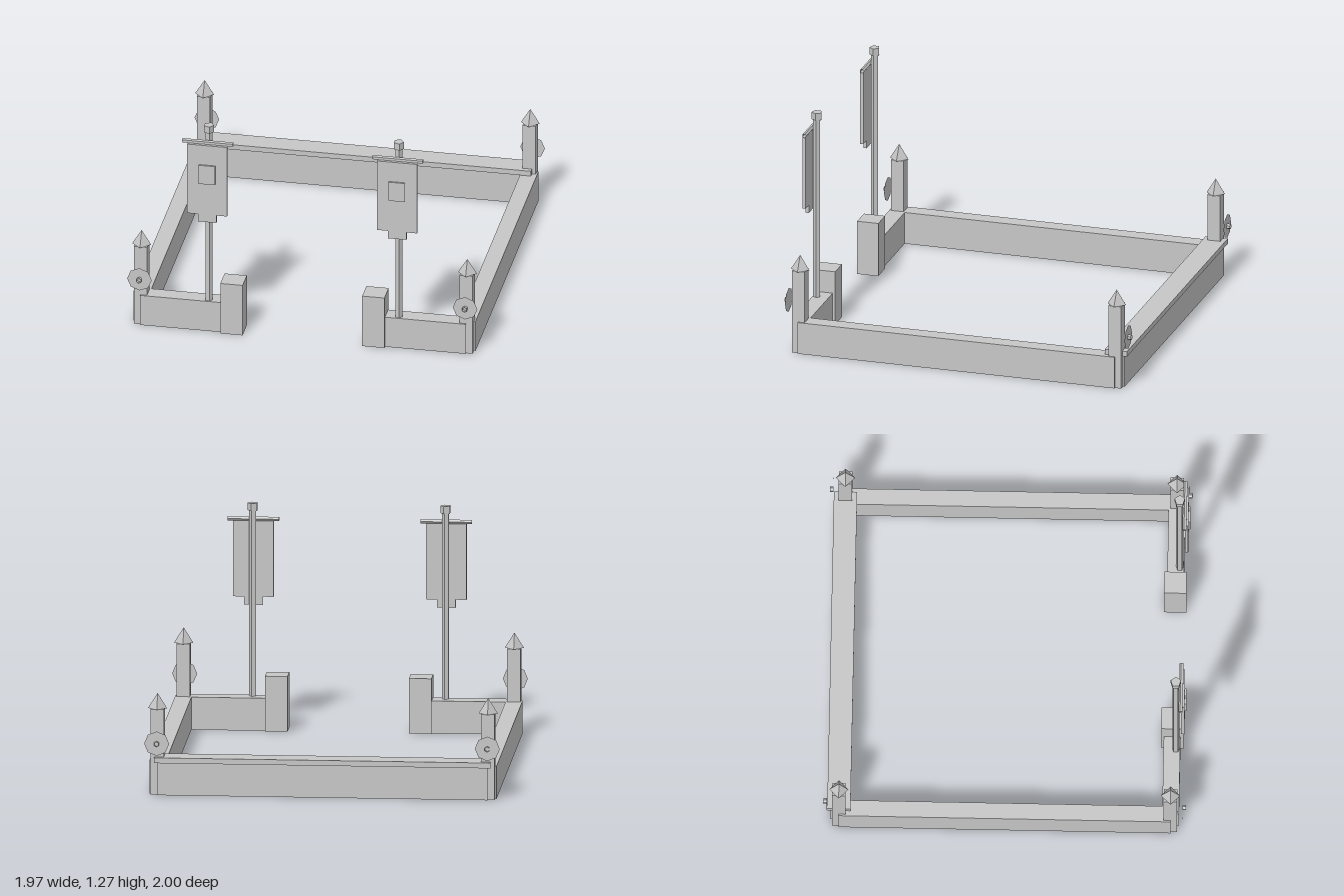
import * as THREE from 'three';

export function createModel() {
  const model = new THREE.Group();
  const stone = new THREE.MeshStandardMaterial({ color: 0xc7c7c7, flatShading: true, side: THREE.DoubleSide });
  stone.name = 'plain light grey';

  const add = (name, geometry, x, y, z, parent = model) => {
    const mesh = new THREE.Mesh(geometry, stone);
    mesh.name = name;
    mesh.position.set(x, y, z);
    parent.add(mesh);
    return mesh;
  };

  // Box standing on the ground, hollow and open underneath
  const standing = (name, w, h, d, x, z, parent) => {
    const geometry = new THREE.BoxGeometry(w, h, d);
    const faces = Array.from(geometry.index.array);
    faces.splice(18, 6); // the underside
    geometry.setIndex(faces);
    geometry.clearGroups();
    add(name, geometry, x, h / 2, z, parent);
  };

  const C = 0.914;   // corner post centre
  const H = 0.183;   // wall height
  const T = 0.092;   // wall thickness

  // Back wall with its overhanging coping
  standing('backWall', 2 * C, H, T, 0, -C);
  add('backCoping', new THREE.BoxGeometry(1.86, 0.03, 0.128), 0, H + 0.015, -0.914);

  // Corner post with pointed top, flat round shield and ring boss
  const cornerPost = (x, side) => {
    const post = new THREE.Group();
    post.name = 'cornerPost';
    post.position.set(x, 0, side * C);
    model.add(post);
    standing('shaft', 0.074, 0.48, 0.074, 0, 0, post);
    add('spire', new THREE.ConeGeometry(0.053, 0.085, 4), 0, 0.5225, 0, post);
    add('shield', new THREE.CircleGeometry(0.069, 8), 0, 0.293, side * (0.98 - C), post);
    const boss = new THREE.CylinderGeometry(0.015, 0.015, 0.02, 6, 1, true).rotateX(Math.PI / 2);
    add('shieldBoss', boss, 0, 0.293, side * (0.99 - C), post);
  };

  // Banner hung on a five-sided pole
  const banner = (x) => {
    const group = new THREE.Group();
    group.name = 'banner';
    group.position.x = x;
    model.add(group);
    const rod = (radius, length) =>
      new THREE.CylinderGeometry(radius, radius, length, 5).rotateY(Math.PI / 2);
    add('pole', rod(0.021, 1.07), 0, 0.695, 0.936, group);
    add('finial', rod(0.03, 0.041), 0, 1.247, 0.936, group);
    const bar = new THREE.CylinderGeometry(0.0125, 0.0125, 0.285, 5, 1, true)
      .rotateY(Math.PI / 5).rotateZ(Math.PI / 2);
    add('crossbar', bar, 0, 1.173, 0.966, group);

    // Cloth with a narrow tab at its foot
    const cloth = new THREE.Shape([
      [-0.112, 1.162], [-0.112, 0.734], [-0.052, 0.734], [-0.052, 0.688],
      [0.052, 0.688], [0.052, 0.734], [0.112, 0.734], [0.112, 1.162],
    ].map(([px, py]) => new THREE.Vector2(px, py)));
    add('cloth', new THREE.ExtrudeGeometry(cloth, { depth: 0.018, bevelEnabled: false }), 0, 0, 0.967, group);
    add('clothPanel', new THREE.BoxGeometry(0.092, 0.115, 0.0095), 0, 0.984, 0.99, group);
  };

  for (const s of [-1, 1]) {
    standing('sideWall', T, H, 2 * C, s * C, 0);
    // Front wall stub runs into the gate pier
    standing('frontWall', C - 0.4, H, T, s * (C + 0.4) / 2, C);
    standing('gatePier', 0.125, 0.31, 0.122, s * 0.398, 0.915);
    cornerPost(s * C, 1);
    cornerPost(s * C, -1);
    banner(s * 0.533);
  }
  return model;
}
